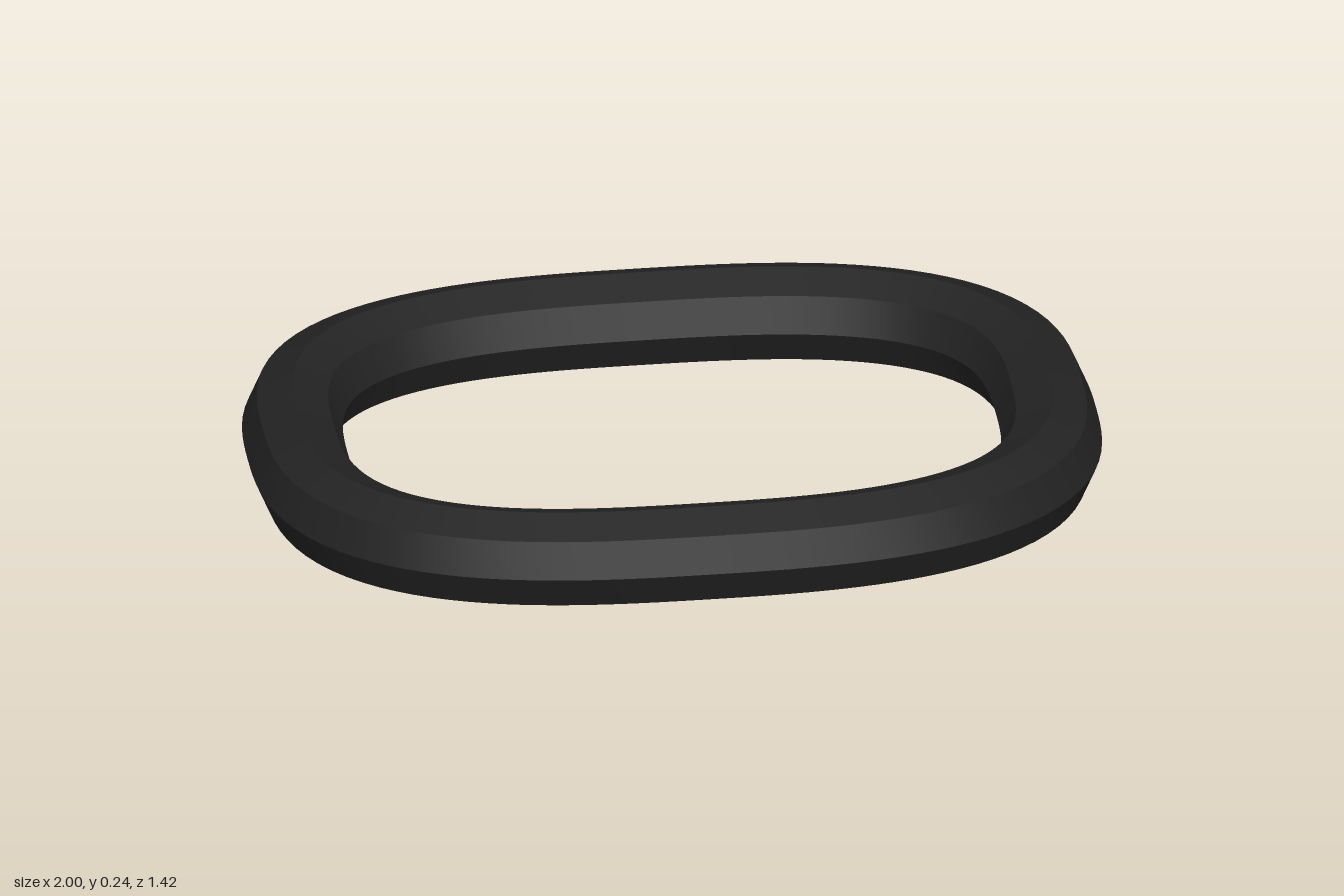
import * as THREE from 'three';
import { toCreasedNormals } from 'three/addons/utils/BufferGeometryUtils.js';

const TUBE_RADIUS = 0.118;

// Rounded oblong centre line (superellipse in polar form), lying flat
class OblongCurve extends THREE.Curve {
  constructor(halfX, halfZ, power) {
    super();
    Object.assign(this, { halfX, halfZ, power });
  }

  getPoint(t, target = new THREE.Vector3()) {
    const angle = t * Math.PI * 2;
    const c = Math.cos(angle), s = Math.sin(angle);
    const sum = Math.abs(c / this.halfX) ** this.power + Math.abs(s / this.halfZ) ** this.power;
    const r = sum ** (-1 / this.power);
    return target.set(r * c, 0, r * s);
  }
}

export function createModel() {
  const group = new THREE.Group();
  group.name = 'chainLink';

  // Octagonal bar swept round the loop: crisp facets, smooth along the length
  const path = new OblongCurve(1 - TUBE_RADIUS, 0.71 - TUBE_RADIUS, 2.8);
  const bar = new THREE.TubeGeometry(path, 128, TUBE_RADIUS, 8, true);
  const link = new THREE.Mesh(
    toCreasedNormals(bar, 0.5),
    new THREE.MeshStandardMaterial({ color: 0x222222 })
  );
  link.name = 'linkRing';
  link.position.y = TUBE_RADIUS;
  group.add(link);

  return group;
}
